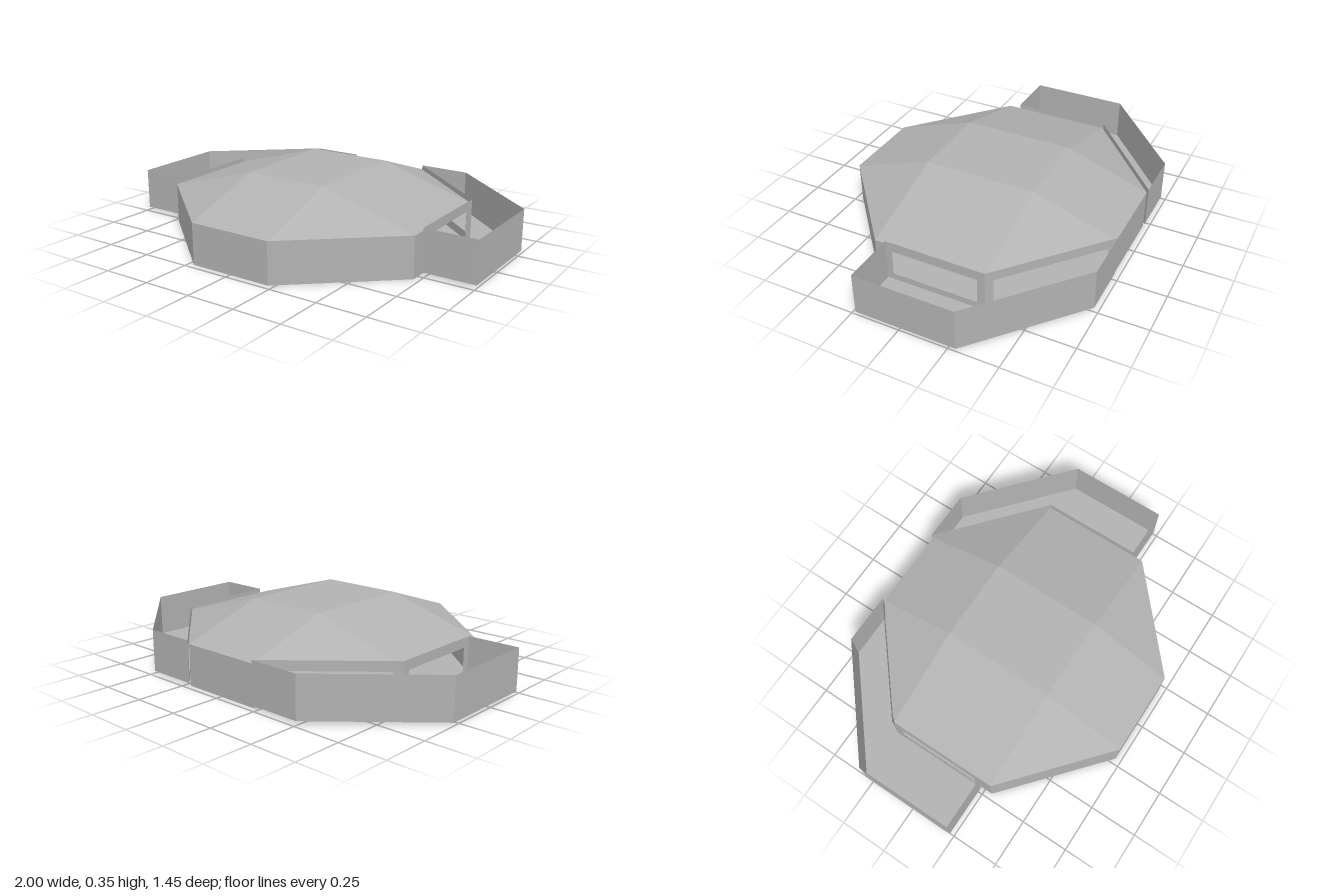
import * as THREE from 'three';

export function createModel() {
  const model = new THREE.Group();
  const grey = new THREE.MeshStandardMaterial({ color: 0xb2b2b2, side: THREE.DoubleSide });
  grey.name = 'grey';

  const add = (parent, name, geometry) => {
    const mesh = new THREE.Mesh(geometry, grey);
    mesh.name = name;
    parent.add(mesh);
  };

  // Upright panel between plan points a and b, with an optional opening inset from each end
  const panel = (a, b, y0, y1, opening) => {
    const dx = b[0] - a[0], dz = b[1] - a[1], length = Math.hypot(dx, dz);
    const shape = new THREE.Shape([[0, y0], [length, y0], [length, y1], [0, y1]].map(p => new THREE.Vector2(...p)));
    if (opening) {
      const [s, e] = [opening[0], length - opening[1]];
      shape.holes.push(new THREE.Path([[s, 0.04], [s, 0.18], [e, 0.18], [e, 0.04]].map(p => new THREE.Vector2(...p))));
    }
    const g = new THREE.ShapeGeometry(shape);
    g.rotateY(Math.atan2(-dz, dx));
    g.translate(a[0], 0, a[1]);
    return g;
  };

  // Level floor from plan points
  const floor = (points, y) => {
    const g = new THREE.ShapeGeometry(new THREE.Shape(points.map(([x, z]) => new THREE.Vector2(x, -z))));
    g.rotateX(-Math.PI / 2);
    g.translate(0, y, 0);
    return g;
  };

  // Eight-sided hall; the sides facing the terraces are open
  const rim = [[-0.22, 0.72], [0.22, 0.72], [0.72, 0.29], [0.72, -0.29],
    [0.22, -0.72], [-0.22, -0.72], [-0.72, -0.29], [-0.72, 0.29]];
  const openings = { 2: [0.09, 0.04], 3: [0.04, 0.04], 5: [0.04, 0.04], 6: [0.04, 0.09] };
  const hall = new THREE.Group();
  hall.name = 'hall';
  rim.forEach((p, i) => add(hall, 'hallWall', panel(p, rim[(i + 1) % 8], 0, 0.21, openings[i])));
  add(hall, 'hallFloor', floor(rim, 0.002));
  model.add(hall);

  // Faceted roof: flat centre, four sloping sides and four corner triangles
  const top = [[-0.22, 0.29], [0.22, 0.29], [0.22, -0.29], [-0.22, -0.29]].map(([x, z]) => [x, 0.355, z]);
  const eave = rim.map(([x, z]) => [x, 0.21, z]);
  const verts = [];
  const quad = (a, b, c, d) => verts.push(...a, ...b, ...c, ...a, ...c, ...d);
  quad(...top);
  for (let i = 0; i < 4; i++) {
    const next = (i + 1) % 4;
    quad(eave[2 * i], eave[2 * i + 1], top[next], top[i]);
    verts.push(...eave[2 * i + 1], ...eave[(2 * i + 2) % 8], ...top[next]);
  }
  const roof = new THREE.BufferGeometry();
  roof.setAttribute('position', new THREE.Float32BufferAttribute(verts, 3));
  roof.computeVertexNormals();
  add(model, 'roof', roof);

  // Mirrored terraces with a parapet and an open inner frame
  for (const s of [1, -1]) {
    const terrace = new THREE.Group();
    terrace.name = s > 0 ? 'leftTerrace' : 'rightTerrace';
    const outline = [[0.728, 0.228], [1, 0.228], [1, -0.29], [0.49, -0.728], [0.22, -0.728], [0.728, -0.292]]
      .map(([x, z]) => [s * x, z]);
    const wall = (name, i, j, opening) => {
      const [a, b] = s > 0 ? [i, j] : [j, i];
      const inset = opening && (s > 0 ? opening : [opening[1], opening[0]]);
      add(terrace, name, panel(outline[a], outline[b], 0.015, 0.23, inset));
    };
    for (let i = 0; i < 4; i++) wall('parapet', i, i + 1);
    wall('innerFrame', 0, 5, [0.03, 0.04]);
    wall('innerFrame', 5, 4, [0.04, 0.04]);
    add(terrace, 'terraceFloor', floor(outline, 0.015));
    model.add(terrace);
  }
  return model;
}
